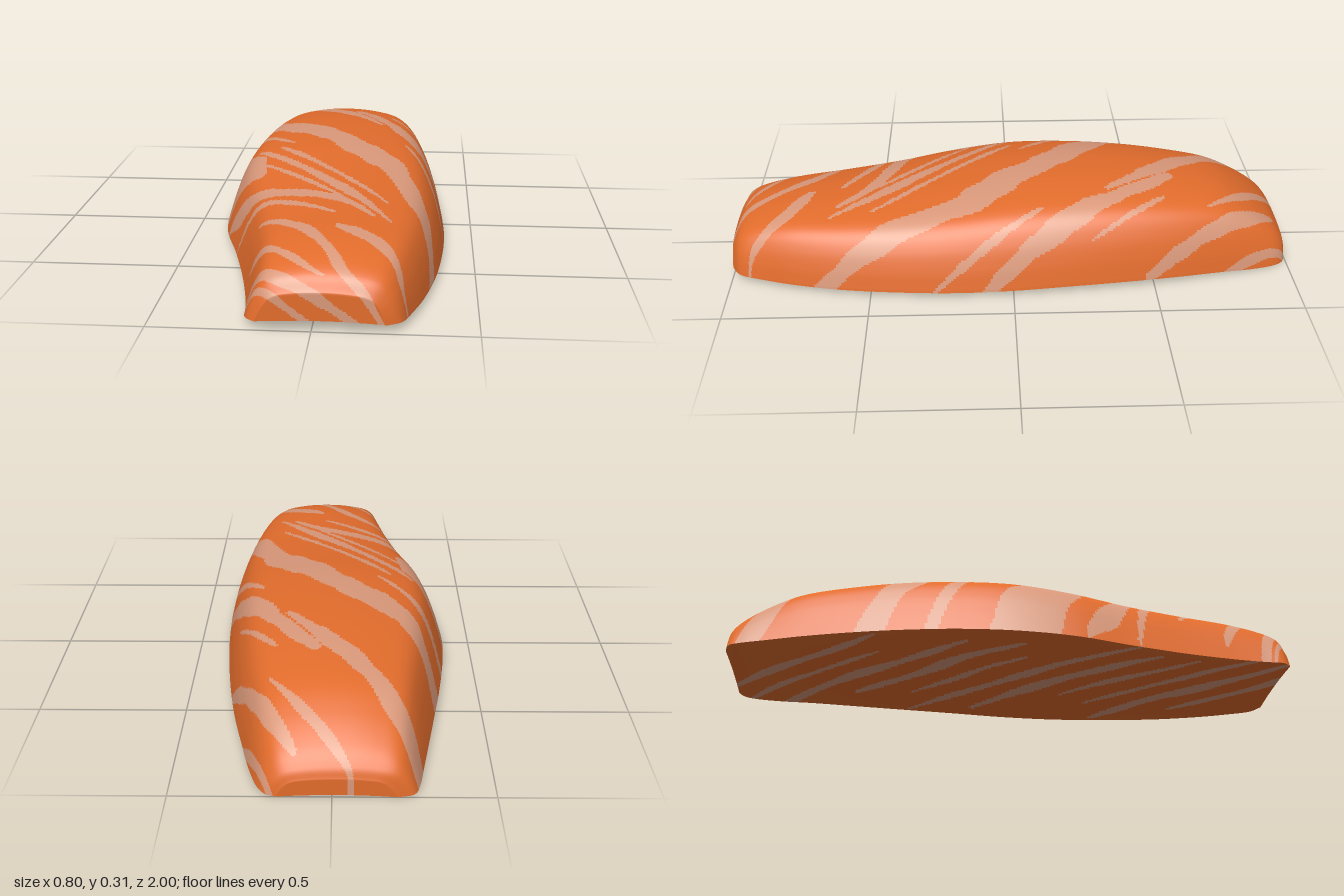
import * as THREE from 'three';

// Cross-sections along the length: z, min x, max x, rim height, crest height
const SECTIONS = [
  [-1, -0.2, 0.17, 0.002, 0.065], [-0.985, -0.25, 0.205, 0.002, 0.1], [-0.94, -0.27, 0.235, 0.004, 0.15],
  [-0.85, -0.287, 0.265, 0.01, 0.212], [-0.74, -0.307, 0.292, 0.018, 0.26], [-0.58, -0.335, 0.328, 0.025, 0.288],
  [-0.4, -0.365, 0.357, 0.028, 0.305], [-0.2, -0.39, 0.38, 0.028, 0.31], [0, -0.4, 0.395, 0.024, 0.304],
  [0.2, -0.377, 0.4, 0.022, 0.284], [0.4, -0.318, 0.39, 0.022, 0.264], [0.6, -0.266, 0.367, 0.022, 0.249],
  [0.77, -0.23, 0.333, 0.024, 0.235], [0.89, -0.211, 0.298, 0.026, 0.21], [0.965, -0.202, 0.27, 0.028, 0.175],
  [1, -0.17, 0.225, 0.03, 0.125],
];
// Half profile of the upper side, from rim to crest (share of width, share of height)
const HALF = [[1, 0], [0.99, 0.07], [0.95, 0.3], [0.885, 0.55], [0.79, 0.76], [0.66, 0.88], [0.45, 0.95], [0.22, 0.99]];

// Turns rows of half width and x, z points into smooth lines
const makeLines = (rows) => rows.map(([w, ...pts]) => ({
  w,
  pts: new THREE.CatmullRomCurve3(pts.map(([x, z]) => new THREE.Vector3(x, 0, z))).getPoints(12),
}));

// Pale fat lines of the upper side, unrolled over the edges
const TOP_STRIPES = makeLines([
  [0.066, [-0.46, -0.66], [-0.2, -0.3], [0.03, -0.06], [0.24, 0.2], [0.36, 0.45], [0.6, 0.75]],
  [0.04, [-0.3, -0.98], [-0.17, -0.77], [0.16, -0.34]],
  [0.017, [-0.06, -1], [0.22, -0.7]],
  [0.048, [0.06, -0.57], [0.36, -0.17], [0.62, 0.1]],
  [0.08, [-0.45, -0.12], [-0.37, 0.04], [-0.25, 0.22]],
  [0.022, [-0.28, 0], [0.06, 0.41], [0.23, 0.64]],
  [0.013, [-0.2, 0], [0.22, 0.5]],
  [0.012, [-0.25, 0.14], [0.06, 0.48]],
  [0.027, [-0.36, 0.24], [-0.25, 0.37], [0.05, 0.5], [0.17, 0.62]],
  [0.02, [-0.3, 0.43], [-0.14, 0.5], [0.04, 0.61]],
  [0.021, [-0.2, 0.6], [-0.04, 0.74], [0.13, 1.04], [0.22, 1.27]],
  [0.03, [0.06, 0.72], [0.2, 0.81], [0.44, 1.02]],
  [0.017, [-0.21, 0.76], [0.03, 0.99]],
  [0.032, [-0.24, 0.88], [-0.13, 0.98], [0.17, 1.28]],
  [0.02, [-0.22, 1], [0.02, 1.28]],
  [0.013, [0.2, -0.54], [0.42, -0.28]],
  [0.033, [0.12, -0.95], [0.3, -0.74], [0.54, -0.48]],
  [0.015, [0.18, -1.05], [0.52, -0.72]],
  [0.018, [0.28, -0.1], [0.6, 0.29]],
  [0.018, [-0.42, -0.35], [-0.16, -0.04]],
]);
// Evenly spaced slanted lines of the underside
const UNDER_STRIPES = makeLines(Array.from({ length: 11 }, (_, k) => {
  const start = -0.24 + 0.09 * Math.sin(k * 2.3), end = 0.27 + 0.1 * Math.sin(k * 1.7);
  const line = [0, 0.33, 0.66, 1].map((t) => {
    const x = THREE.MathUtils.lerp(start, end, t);
    return [x, 0.98 - 0.184 * k - 1.2 * x + 0.02 * Math.sin(x * 14 + k)];
  });
  return [0.024 + 0.007 * Math.sin(k * 1.9), ...line];
}));

// True where a point lies in a tapered line with gently wavering edges
function inStripe(lines, x, z) {
  const across = z - 1.5 * x, along = z + 0.65 * x;
  const waver = 0.95 + 0.16 * Math.sin(along * 13 + across * 7) + 0.07 * Math.sin(along * 31 - across * 19);
  return lines.some(({ w, pts }) => {
    for (let k = 0; k < pts.length - 1; k++) {
      const a = pts[k], dx = pts[k + 1].x - a.x, dz = pts[k + 1].z - a.z;
      const s = THREE.MathUtils.clamp(((x - a.x) * dx + (z - a.z) * dz) / (dx * dx + dz * dz), 0, 1);
      const t = (k + s) / (pts.length - 1);
      const width = w * waver * Math.pow(Math.sin(Math.PI * (0.06 + 0.88 * t)), 0.6);
      if (Math.hypot(x - a.x - dx * s, z - a.z - dz * s) < width) return true;
    }
    return false;
  });
}

// Smooth curves through the section table and the full upper profile
const spline = (pts) => new THREE.CatmullRomCurve3(pts.map((p) => new THREE.Vector3(...p)), false, 'catmullrom', 0.5);
const plan = spline(SECTIONS.map(([z, l, r]) => [l, r, z]));
const heights = spline(SECTIONS.map(([, , , b, t]) => [b, t, 0]));
const profile = spline([
  ...HALF.map(([u, v]) => [u, v, 0]), [0, 1, 0],
  // the right flank leans in a little more
  ...HALF.slice().reverse().map(([u, v]) => [-u + 0.02 * Math.sin(Math.PI * v), v, 0]),
]);

function sectionAt(t) {
  const p = plan.getPoint(t), h = heights.getPoint(t);
  return { mid: (p.x + p.y) / 2, half: (p.y - p.x) / 2, z: p.z, rim: h.x, crest: h.y };
}
// The hollow underneath flattens out toward both ends
const underY = (s, u) => s.rim + (0.007 + 0.011 * (1 - s.z ** 4)) * (1 - u * u);

// Grid surface whose cells are sorted into flesh and stripe material groups
function makeSurface(rows, cols, pointAt, facesUp, lines, patternAt) {
  const pos = [], map = [], flesh = [], stripe = [];
  for (let i = 0; i <= rows; i++) {
    for (let j = 0; j <= cols; j++) {
      const p = pointAt(i, j / cols);
      pos.push(p.x, p.y, p.z);
      map.push(patternAt(p));
    }
  }
  for (let i = 0; i < rows; i++) {
    for (let j = 0; j < cols; j++) {
      const a = i * (cols + 1) + j, b = a + cols + 1, c = a + 1, d = b + 1;
      const x = (map[a][0] + map[d][0]) / 2, z = (map[a][1] + map[d][1]) / 2;
      const list = inStripe(lines, x, z) ? stripe : flesh;
      list.push(...(facesUp ? [a, c, b, b, c, d] : [a, b, c, b, d, c]));
    }
  }
  const g = new THREE.BufferGeometry();
  g.setAttribute('position', new THREE.Float32BufferAttribute(pos, 3));
  g.setIndex([...flesh, ...stripe]);
  g.addGroup(0, flesh.length, 0);
  g.addGroup(flesh.length, stripe.length, 1);
  g.computeVertexNormals();
  return g;
}

// Unrolls the left flank and the front end so lines run on down them
function unrolled(p) {
  const flank = THREE.MathUtils.smoothstep(p.x, 0, 0.25) * (1 - THREE.MathUtils.smoothstep(p.z, 0.96, 1));
  const front = THREE.MathUtils.smoothstep(p.z, 0.9, 1);
  return [p.x + 0.75 * (p.crest - p.y) * flank, p.z + 1.5 * Math.max(0, 0.19 - p.y) * front];
}

export function createModel() {
  const fleshMat = new THREE.MeshStandardMaterial({ color: 0xe26c2c });
  fleshMat.name = 'orange flesh';
  const fatMat = new THREE.MeshStandardMaterial({ color: 0xd9987a });
  fatMat.name = 'pale fat';
  const mats = [fleshMat, fatMat];
  const group = new THREE.Group();
  group.name = 'fishFillet';

  // Upper side, with extra rows that close both ends down to the rim
  const END = 16, N = 330;
  const top = makeSurface(N + 2 * END, 140, (i, v) => {
    const s = sectionAt(THREE.MathUtils.clamp((i - END) / N, 0, 1));
    const p = profile.getPoint(v);
    const drop = Math.max(0, END - i, i - END - N) / END;
    const y = s.rim + (s.crest - s.rim) * p.y;
    return {
      x: s.mid + s.half * p.x,
      y: THREE.MathUtils.lerp(y, underY(s, p.x), drop),
      z: s.z,
      crest: s.crest,
    };
  }, true, TOP_STRIPES, unrolled);
  const topMesh = new THREE.Mesh(top, mats);
  topMesh.name = 'filletTop';

  // Slightly hollow underside
  const under = makeSurface(220, 90, (i, v) => {
    const s = sectionAt(i / 220), u = 1 - 2 * v;
    return { x: s.mid + s.half * u, y: underY(s, u), z: s.z };
  }, false, UNDER_STRIPES, (p) => [p.x, p.z]);
  const underMesh = new THREE.Mesh(under, mats);
  underMesh.name = 'filletUnderside';

  group.add(topMesh, underMesh);
  return group;
}
